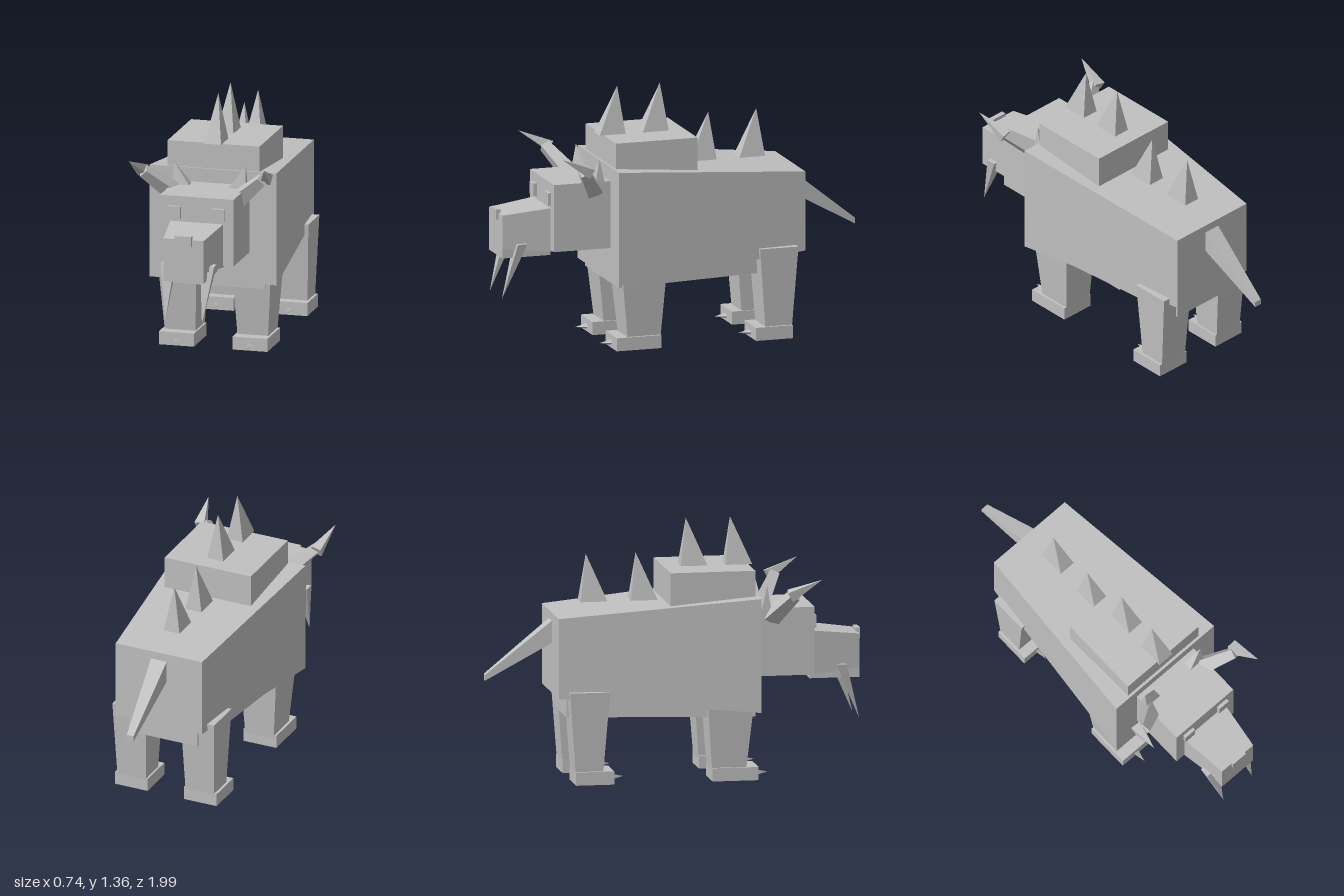
import * as THREE from 'three';

const hide = new THREE.MeshStandardMaterial({ color: 0xc0c0c0 });
hide.name = 'grey hide';

export function createModel() {
  const model = new THREE.Group();
  model.name = 'hornedBeast';

  function add(name, geometry) {
    const flat = geometry.index ? geometry.toNonIndexed() : geometry;
    flat.computeVertexNormals();
    const mesh = new THREE.Mesh(flat, hide);
    mesh.name = name;
    model.add(mesh);
    return mesh;
  }

  // Axis-aligned block from minimum and maximum corners
  function block(name, x0, x1, y0, y1, z0, z1) {
    const g = new THREE.BoxGeometry(x1 - x0, y1 - y0, z1 - z0);
    g.translate((x0 + x1) / 2, (y0 + y1) / 2, (z0 + z1) / 2);
    return add(name, g);
  }

  // Block tapering along z: each end is { z, w: half width, y0, y1 }
  function taperZ(name, back, front) {
    const g = new THREE.BoxGeometry(2, 2, 2);
    const p = g.attributes.position;
    for (let i = 0; i < p.count; i++) {
      const e = p.getZ(i) > 0 ? front : back;
      p.setXYZ(i, p.getX(i) * e.w, p.getY(i) > 0 ? e.y1 : e.y0, e.z);
    }
    return add(name, g);
  }

  // Block tapering along y: each end is { y, x: [min, max], z: [min, max] }
  function taperY(name, bottom, top) {
    const g = new THREE.BoxGeometry(2, 2, 2);
    const p = g.attributes.position;
    for (let i = 0; i < p.count; i++) {
      const e = p.getY(i) > 0 ? top : bottom;
      p.setXYZ(i, e.x[p.getX(i) > 0 ? 1 : 0], e.y, e.z[p.getZ(i) > 0 ? 1 : 0]);
    }
    return add(name, g);
  }

  // Pyramid on a rectangular base whose tip may lean
  function pyramid(name, x, y, z, hx, hz, tip) {
    const c = [[x - hx, y, z - hz], [x - hx, y, z + hz], [x + hx, y, z + hz], [x + hx, y, z - hz]];
    const up = tip[1] > y;
    const v = [];
    const tri = (a, b, d) => v.push(...(up ? [a, b, d] : [a, d, b]).flat());
    for (let i = 0; i < 4; i++) tri(c[i], c[(i + 1) % 4], tip);
    tri(c[0], c[2], c[1]);
    tri(c[0], c[3], c[2]);
    const g = new THREE.BufferGeometry();
    g.setAttribute('position', new THREE.Float32BufferAttribute(v, 3));
    return add(name, g);
  }

  // Tapered bar between two points
  function bar(name, from, to, r0, r1, sides = 4, turn = Math.PI / 4) {
    const a = new THREE.Vector3(...from), b = new THREE.Vector3(...to);
    const d = b.clone().sub(a);
    const g = new THREE.CylinderGeometry(r1, r0, d.length(), sides);
    g.rotateY(turn);
    g.applyQuaternion(new THREE.Quaternion().setFromUnitVectors(new THREE.Vector3(0, 1, 0), d.normalize()));
    g.translate(...a.add(b).multiplyScalar(0.5).toArray());
    return add(name, g);
  }

  // Trunk
  taperZ('body', { z: -0.64, w: 0.25, y0: 0.455, y1: 0.88 }, { z: 0.42, w: 0.345, y0: 0.365, y1: 0.97 });
  taperZ('belly', { z: -0.59, w: 0.2, y0: 0.348, y1: 0.55 }, { z: 0.4, w: 0.28, y0: 0.335, y1: 0.55 });
  block('hump', -0.25, 0.25, 0.85, 1.105, -0.045, 0.405);

  // Back spikes: base height, base centre z, tip height, tip z
  for (const [y, z, ty, tz] of [
    [1.105, 0.355, 1.355, 0.315], [1.105, 0.117, 1.355, 0.08],
    [0.93, -0.148, 1.18, -0.187], [0.93, -0.415, 1.18, -0.452],
  ]) pyramid('backSpike', 0, y, z, 0.046, 0.071, [0, ty, tz]);

  // Tail
  taperZ('tail', { z: -0.99, w: 0.02, y0: 0.525, y1: 0.556 }, { z: -0.63, w: 0.046, y0: 0.725, y1: 0.845 })
    .geometry.computeBoundingBox();

  // Head, muzzle and nose
  block('head', -0.2, 0.2, 0.535, 0.895, 0.4, 0.73);
  taperZ('muzzle', { z: 0.72, w: 0.145, y0: 0.525, y1: 0.76 }, { z: 0.985, w: 0.11, y0: 0.555, y1: 0.73 });
  block('lowerJaw', -0.11, 0.11, 0.5, 0.565, 0.72, 0.985);
  block('nose', -0.045, 0.045, 0.695, 0.75, 0.975, 1.0);

  for (const s of [1, -1]) {
    const side = s > 0 ? 'left' : 'right';
    const span = (a, b) => (s > 0 ? [a, b] : [-b, -a]);

    // Face details
    block(side + 'Eye', ...span(0.085, 0.152), 0.775, 0.842, 0.72, 0.748);
    pyramid(side + 'Ear', s * 0.152, 0.89, 0.475, 0.048, 0.025, [s * 0.195, 1.015, 0.478]);
    pyramid(side + 'Tusk', s * 0.108, 0.575, 0.885, 0.038, 0.026, [s * 0.1, 0.28, 0.985]);

    // Two-part horn
    bar(side + 'HornBase', [s * 0.17, 0.845, 0.505], [s * 0.325, 0.985, 0.607], 0.057, 0.036);
    bar(side + 'HornTip', [s * 0.335, 0.98, 0.575], [s * 0.368, 1.067, 0.74], 0.04, 0);

    // Legs, feet and claws
    taperY(side + 'FrontLeg', { y: 0.05, x: span(0.115, 0.28), z: [0.17, 0.35] },
      { y: 0.47, x: span(0.095, 0.31), z: [0.14, 0.395] });
    taperY(side + 'BackLeg', { y: 0.05, x: span(0.115, 0.28), z: [-0.555, -0.41] },
      { y: 0.49, x: span(0.1, 0.295), z: [-0.587, -0.375] });
    for (const [name, z0, z1] of [['Front', 0.17, 0.415], ['Back', -0.556, -0.353]]) {
      block(side + name + 'Foot', ...span(0.105, 0.295), 0, 0.07, z0, z1);
      bar(side + name + 'Claw', [s * 0.2, 0.028, z1 - 0.01], [s * 0.2, 0.028, z1 + 0.065], 0.02, 0, 3, Math.PI / 2);
    }
  }
  return model;
}
